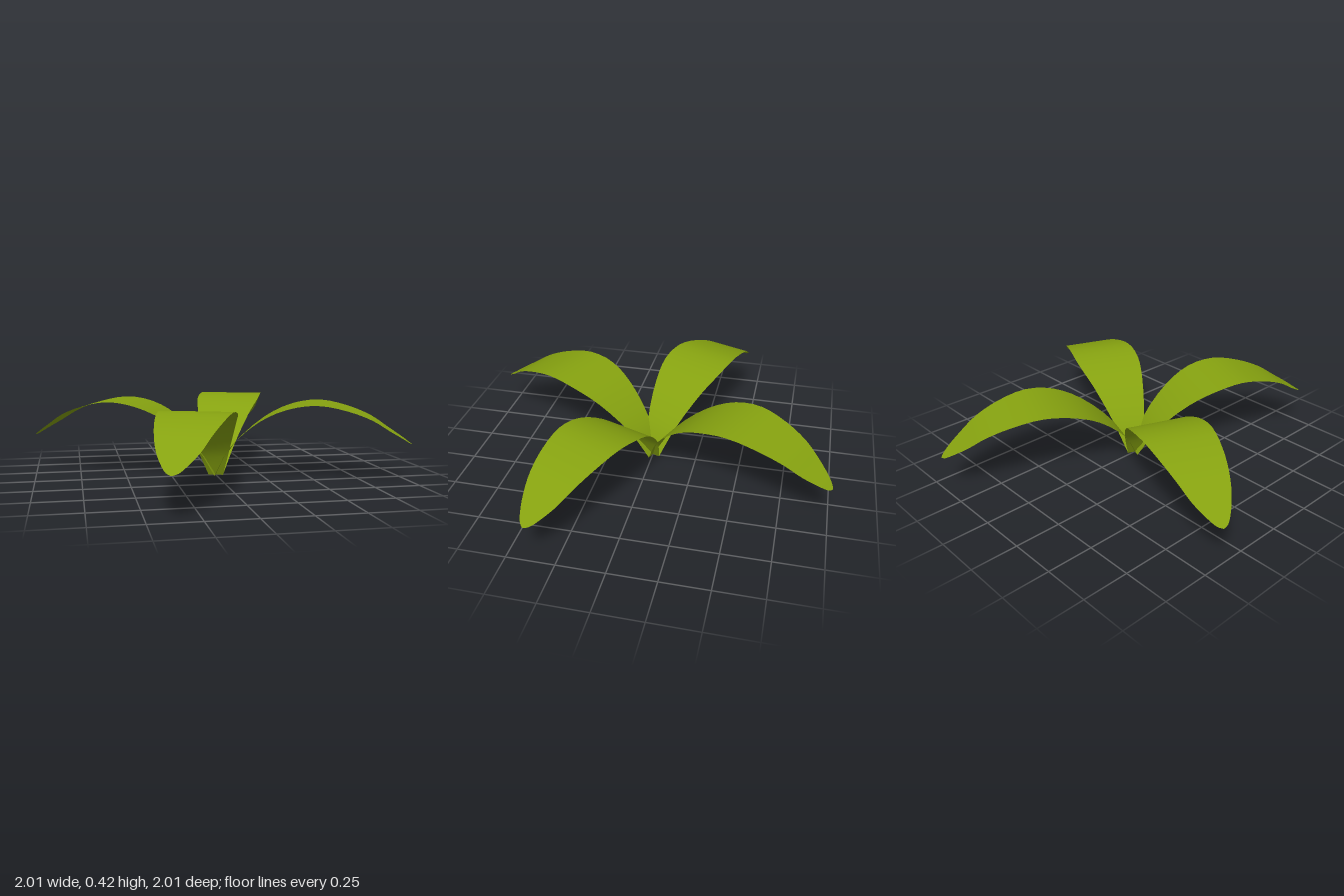
import * as THREE from 'three';

// Arching leaf: distance along the midline, height, half width
const LEAF = [
  [0, 0, 0.042], [0.09, 0.165, 0.094], [0.26, 0.322, 0.152], [0.415, 0.397, 0.186],
  [0.57, 0.421, 0.186], [0.73, 0.392, 0.163], [0.86, 0.342, 0.132], [0.95, 0.285, 0.1],
  [1.03, 0.235, 0.055], [1.062, 0.213, 0.028], [1.076, 0.205, 0.004],
];

function leafGeometry(steps = 30) {
  const curve = new THREE.CatmullRomCurve3(LEAF.map((p) => new THREE.Vector3(...p)));
  const positions = [];
  const index = [];
  for (let i = 0; i <= steps; i++) {
    const p = curve.getPoint(i / steps);
    positions.push(p.x, p.y, -p.z, p.x, p.y, p.z);
    if (i < steps) {
      const a = i * 2;
      index.push(a, a + 1, a + 2, a + 1, a + 3, a + 2);
    }
  }
  const geometry = new THREE.BufferGeometry();
  geometry.setAttribute('position', new THREE.Float32BufferAttribute(positions, 3));
  geometry.setIndex(index);
  geometry.computeVertexNormals();
  return geometry;
}

export function createModel() {
  const plant = new THREE.Group();
  plant.name = 'plant';
  const leafGreen = new THREE.MeshStandardMaterial({ color: 0x86a210, side: THREE.DoubleSide });
  leafGreen.name = 'leaf green';

  // Four equal leaves around the centre
  const geometry = leafGeometry();
  for (let i = 0; i < 4; i++) {
    const leaf = new THREE.Mesh(geometry, leafGreen);
    leaf.name = `leaf${i + 1}`;
    leaf.rotation.y = THREE.MathUtils.degToRad(-21.3 + i * 90);
    plant.add(leaf);
  }
  return plant;
}
